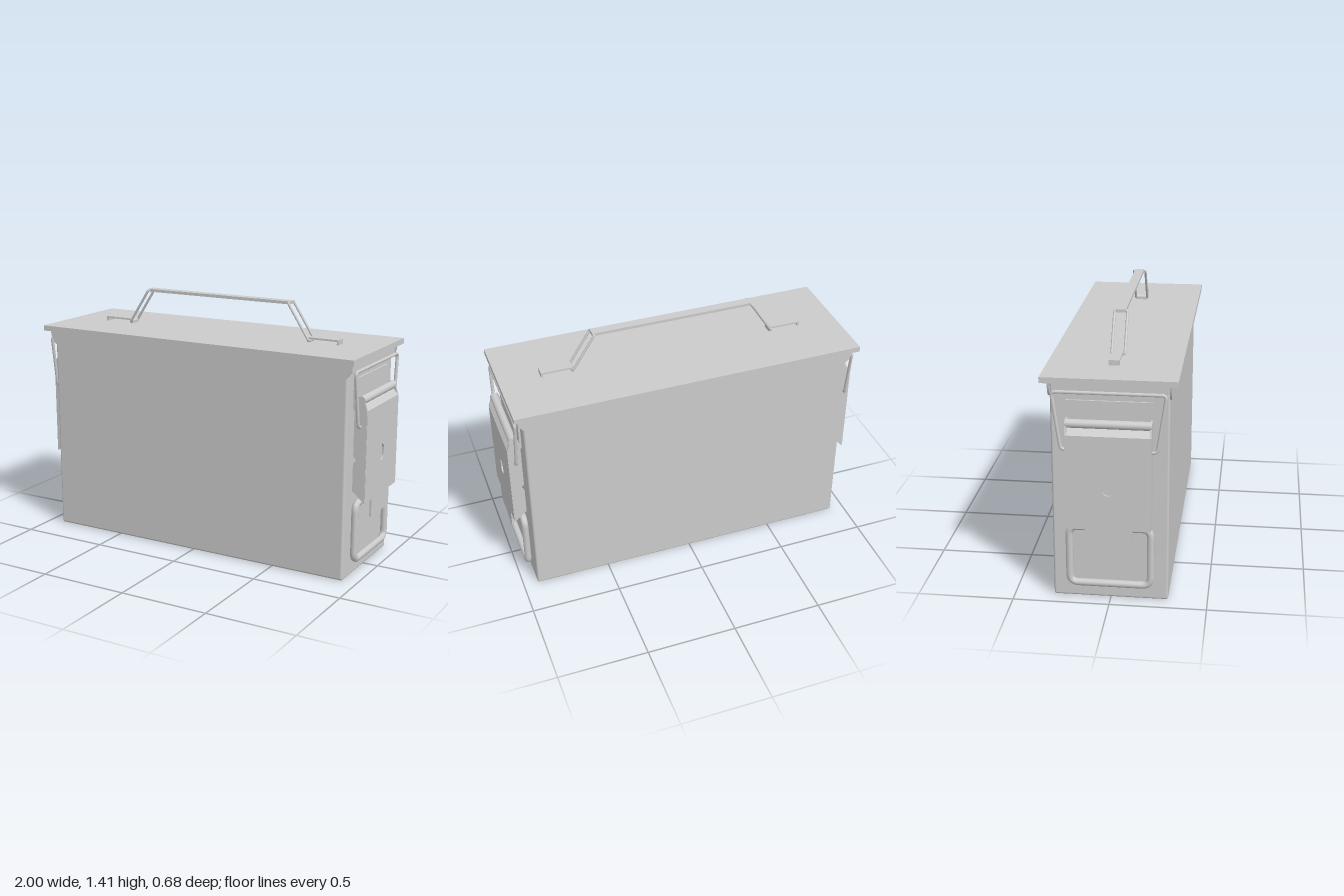
import * as THREE from 'three';
import { RoundedBoxGeometry } from 'three/addons/geometries/RoundedBoxGeometry.js';
import { toCreasedNormals } from 'three/addons/utils/BufferGeometryUtils.js';

const material = new THREE.MeshStandardMaterial({ color: 0xcccccc, side: THREE.DoubleSide });
const V = (x, y, z) => new THREE.Vector3(x, y, z);

function add(parent, name, geometry, x = 0, y = 0, z = 0) {
  const mesh = new THREE.Mesh(geometry, material);
  mesh.name = name;
  mesh.position.set(x, y, z);
  parent.add(mesh);
  return mesh;
}

// Box given by its min and max corners
function addBox(parent, name, [x0, y0, z0], [x1, y1, z1]) {
  return add(parent, name, new THREE.BoxGeometry(x1 - x0, y1 - y0, z1 - z0),
    (x0 + x1) / 2, (y0 + y1) / 2, (z0 + z1) / 2);
}

function polygon(points) {
  return new THREE.Shape(points.map(([x, y]) => new THREE.Vector2(x, y)));
}

const slab = (shape, depth) => new THREE.ExtrudeGeometry(shape, { depth, bevelEnabled: false, curveSegments: 10 });

// Round wire through corner points, each corner filleted
function wire(points, fillet, radius, closed, segments = 120) {
  const path = new THREE.CurvePath();
  const n = points.length;
  let start = null, cursor = null;
  for (let i = 0; i < n; i++) {
    const p = points[i];
    if (!closed && (i === 0 || i === n - 1)) {
      if (cursor) path.add(new THREE.LineCurve3(cursor, p));
      cursor = p;
      continue;
    }
    const towards = q => p.clone().add(q.clone().sub(p).setLength(fillet));
    const a = towards(points[(i + n - 1) % n]);
    const b = towards(points[(i + 1) % n]);
    if (cursor) path.add(new THREE.LineCurve3(cursor, a));
    else start = a;
    path.add(new THREE.QuadraticBezierCurve3(a, p, b));
    cursor = b;
  }
  if (closed) path.add(new THREE.LineCurve3(cursor, start));
  return new THREE.TubeGeometry(path, segments, radius, 10, closed);
}

// Latch, locking wire and drop handle for one end
function createEnd() {
  const end = new THREE.Group();

  // Latch face with a tongue and an oval hole, laid out as (z, y)
  const face = polygon([[-0.213, 0.42], [-0.12, 0.42], [-0.12, 0.32], [0.12, 0.32],
    [0.12, 0.42], [0.213, 0.42], [0.213, 0.92], [-0.213, 0.92]]);
  const hole = new THREE.Path();
  hole.absarc(0, 0.667, 0.028, 0, Math.PI, false);
  hole.absarc(0, 0.633, 0.028, Math.PI, Math.PI * 2, false);
  face.holes.push(hole);
  add(end, 'latchFace', slab(face, 0.01).rotateY(Math.PI / 2), 0.99);

  // Side flanges of the latch
  const flange = polygon([[0.998, 0.42], [0.998, 0.92], [0.978, 0.985], [0.945, 0.995], [0.928, 0.95],
    [0.928, 0.67], [0.945, 0.65], [0.928, 0.63], [0.928, 0.48]]);
  for (const z of [-0.215, 0.205]) add(end, 'latchFlange', slab(flange, 0.01), 0, 0, z);

  // Sloped upper edge and rolled hinge
  const slope = polygon([[1, 0.92], [0.972, 0.952], [0.96, 0.948], [0.99, 0.915]]);
  add(end, 'latchUpperEdge', slab(slope, 0.426), 0, 0, -0.213);
  const roll = new THREE.CylinderGeometry(0.022, 0.022, 0.43, 20).rotateX(Math.PI / 2);
  add(end, 'latchRoll', roll, 0.965, 0.972, 0);

  // Bracket and hooked lip the latch works against
  addBox(end, 'latchBracket', [0.91, 0.92, -0.215], [0.93, 1.08, 0.215]);
  addBox(end, 'lidEndLip', [0.91, 1.122, -0.285], [0.94, 1.18, 0.285]);

  // Locking wire from the lip down into the latch
  add(end, 'lockingWire', wire([V(0.962, 0.832, 0.19), V(0.962, 0.832, 0.24), V(0.958, 1.13, 0.283),
    V(0.958, 1.13, -0.283), V(0.962, 0.832, -0.24), V(0.962, 0.832, -0.19)], 0.022, 0.009, false));

  // Drop handle
  add(end, 'dropHandle', wire([V(0.945, 0.093, -0.208), V(0.945, 0.093, 0.208),
    V(0.945, 0.408, 0.208), V(0.945, 0.408, -0.208)], 0.045, 0.019, true));
  return end;
}

// Bracket and wire link holding one end of the lid handle
function createHandleMount() {
  const mount = new THREE.Group();
  const strap = polygon([[0.562, 1.2], [0.572, 1.2], [0.578, 1.222], [0.735, 1.222], [0.735, 1.2],
    [0.745, 1.2], [0.745, 1.232], [0.572, 1.232], [0.562, 1.222]]);
  add(mount, 'handleBracket', slab(strap, 0.056), 0, 0, -0.028);
  add(mount, 'handleLink', wire([V(0.447, 1.408, -0.034), V(0.447, 1.408, 0.034),
    V(0.574, 1.213, 0.034), V(0.574, 1.213, -0.034)], 0.01, 0.007, true));
  return mount;
}

export function createModel() {
  const model = new THREE.Group();
  model.name = 'metalCan';

  // Body and lid
  add(model, 'body', new RoundedBoxGeometry(1.84, 1.185, 0.594, 3, 0.012), 0, 0.5925, 0);
  addBox(model, 'lid', [-0.97, 1.175, -0.34], [0.97, 1.205, 0.34]);

  // Long lid skirts with rounded lower corners
  const skirt = new THREE.Shape();
  skirt.moveTo(-0.95, 1.18);
  skirt.lineTo(-0.945, 1.15);
  skirt.quadraticCurveTo(-0.93, 1.09, -0.89, 1.09);
  skirt.lineTo(0.89, 1.09);
  skirt.quadraticCurveTo(0.93, 1.09, 0.945, 1.15);
  skirt.lineTo(0.95, 1.18);
  for (const z of [-0.305, 0.295]) {
    add(model, 'lidSkirt', toCreasedNormals(slab(skirt, 0.01), 0.6), 0, 0, z);
  }

  // Matching fittings at both ends
  for (const [side, angle] of [['left', 0], ['right', Math.PI]]) {
    const end = createEnd();
    end.name = side + 'EndFittings';
    end.rotation.y = angle;
    const mount = createHandleMount();
    mount.name = side + 'HandleMount';
    mount.rotation.y = angle;
    model.add(end, mount);
  }

  // Flat carrying bar
  addBox(model, 'handleBar', [-0.455, 1.399, -0.026], [0.455, 1.415, 0.026]);
  return model;
}
